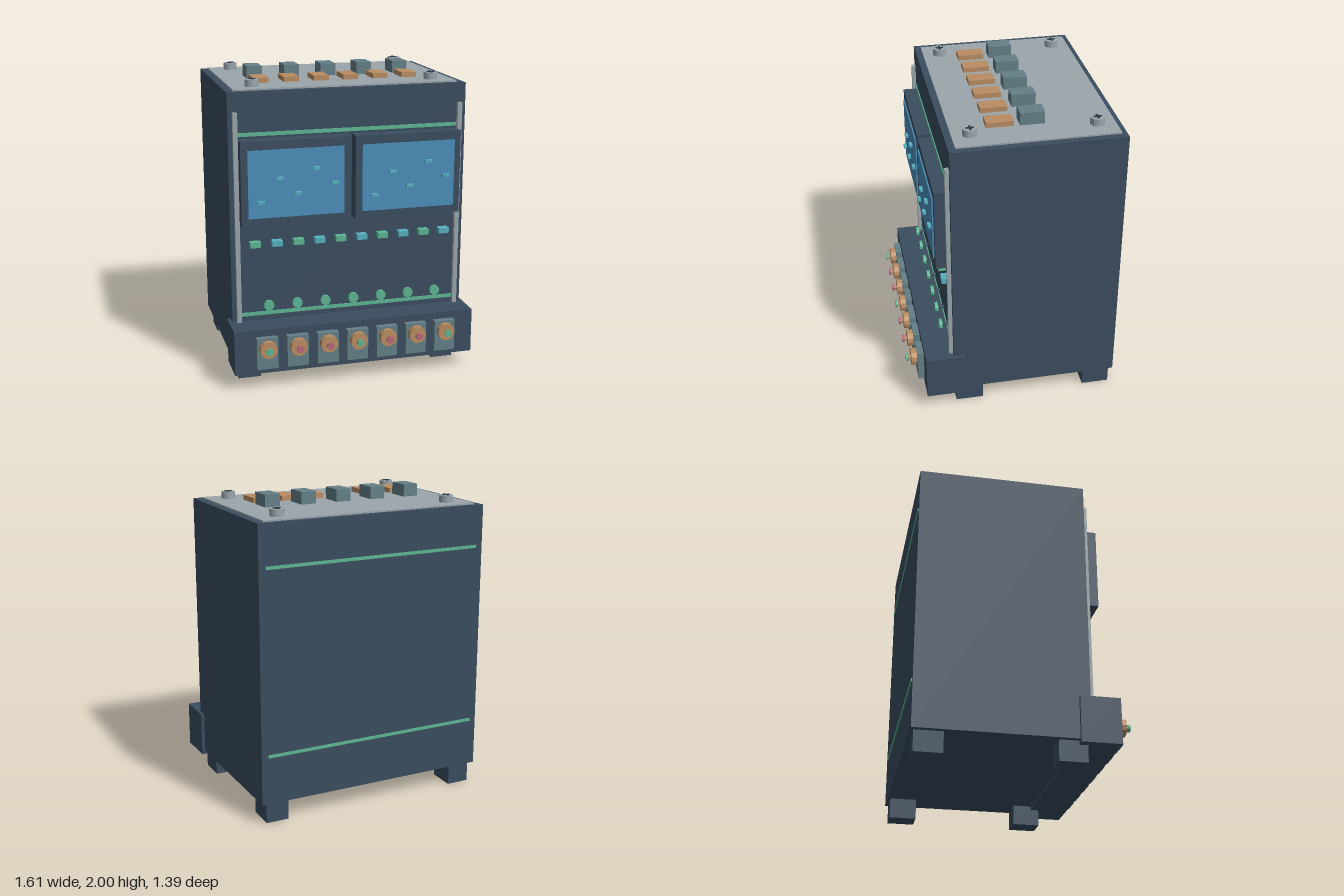
import * as THREE from 'three';

const mat = (name, color) => {
  const m = new THREE.MeshStandardMaterial({ color });
  m.name = name;
  m.flatShading = true;
  return m;
};

export function createModel() {
  const navy = mat('navy casing', 0x3a4c5e);
  const silver = mat('silver metal', 0x9aa5aa);
  const slate = mat('slate', 0x647f88);
  const copper = mat('copper', 0xb88c62);
  const green = mat('green', 0x5cb592);
  const cyan = mat('cyan', 0x55b0c0);
  const glass = mat('screen blue', 0x4a8db8);
  const rose = mat('rose', 0xb8687a);
  const dark = mat('dark slot', 0x2c3a48);

  const root = new THREE.Group();
  root.name = 'controlCabinet';

  const add = (name, geometry, material, x, y, z) => {
    const m = new THREE.Mesh(geometry, material);
    m.name = name;
    m.position.set(x, y, z);
    root.add(m);
    return m;
  };
  // Box given by its limits on each axis
  const box = (name, material, x0, x1, y0, y1, z0, z1) =>
    add(name, new THREE.BoxGeometry(x1 - x0, y1 - y0, z1 - z0), material,
      (x0 + x1) / 2, (y0 + y1) / 2, (z0 + z1) / 2);
  // Cylinder pointing forward, between two depths
  const disc = (name, material, r, sides, x, y, z0, z1) =>
    add(name, new THREE.CylinderGeometry(r, r, z1 - z0, sides).rotateX(Math.PI / 2),
      material, x, y, (z0 + z1) / 2);

  // Casing, front console and feet
  box('casing', navy, -0.785, 0.785, 0.135, 1.91, -0.688, 0.397);
  box('frontConsole', navy, -0.807, 0.807, 0.11, 0.407, 0.325, 0.58);
  for (const s of [-1, 1]) {
    for (const z of [0.29, -0.58]) {
      box('foot', navy, s * 0.675 - 0.075, s * 0.675 + 0.075, 0, 0.136, z - 0.09, z + 0.09);
    }
  }

  // Top plate with corner screws
  box('topPlate', silver, -0.738, 0.738, 1.905, 1.92, -0.655, 0.355);
  for (const x of [-0.597, 0.597]) {
    for (const z of [-0.54, 0.243]) {
      add('screw', new THREE.CylinderGeometry(0.045, 0.045, 0.045, 16), silver, x, 1.9425, z);
      add('screwSlot', new THREE.BoxGeometry(0.05, 0.008, 0.014), dark, x, 1.966, z);
      add('screwSlot', new THREE.BoxGeometry(0.014, 0.008, 0.05), dark, x, 1.9655, z);
    }
  }

  // Rows of blocks on the top
  for (let i = 0; i < 5; i++) {
    const x = -0.517 + i * 0.251;
    box('tallBlock', slate, x - 0.051, x + 0.051, 1.92, 2, -0.228, -0.075);
  }
  for (let i = 0; i < 6; i++) {
    const x = -0.515 + i * 0.2;
    box('lowBlock', copper, x - 0.05, x + 0.05, 1.92, 1.952, -0.038, 0.133);
  }

  // Silver side rails and green trim, front and back
  for (const s of [-1, 1]) {
    box('rail', silver, s * 0.741 - 0.015, s * 0.741 + 0.015, 0.4, 1.785, 0.395, 0.423);
  }
  for (const y of [1.642, 0.453]) {
    box('frontTrim', green, -0.725, 0.725, y - 0.012, y + 0.012, 0.395, 0.403);
    box('backTrim', green, -0.74, 0.74, y - 0.01, y + 0.01, -0.693, -0.685);
  }

  // Two framed screens with small markers
  const marks = [[-0.232, 1.228], [-0.111, 1.376], [0.006, 1.275], [0.127, 1.429], [0.249, 1.328]];
  for (const cx of [-0.371, 0.371]) {
    box('screenFrame', navy, cx - 0.354, cx + 0.354, 1.07, 1.615, 0.395, 0.488);
    box('screen', glass, cx - 0.311, cx + 0.311, 1.122, 1.558, 0.488, 0.497);
    for (const [dx, y] of marks) {
      const x = cx + dx;
      box('screenMarker', cyan, x - 0.023, x + 0.023, y - 0.009, y + 0.009, 0.497, 0.518);
    }
  }

  // Row of indicator lights
  for (let i = 0; i < 10; i++) {
    const x = -0.63 + i * 0.1415;
    box('indicator', i % 2 ? cyan : green, x - 0.034, x + 0.034, 0.914, 0.95, 0.395, 0.448);
  }

  // Row of round buttons on thin stems
  for (let i = 0; i < 7; i++) {
    const x = -0.552 + i * 0.189;
    disc('buttonStem', navy, 0.01, 8, x, 0.523, 0.395, 0.441);
    disc('button', green, 0.034, 10, x, 0.523, 0.441, 0.462);
  }

  // Console dials: plate, copper nut and coloured cap
  for (let i = 0; i < 7; i++) {
    const x = -0.6 + i * 0.2;
    box('dialPlate', slate, x - 0.07, x + 0.07, 0.153, 0.362, 0.575, 0.621);
    disc('dialNut', copper, 0.057, 12, x, 0.294, 0.621, 0.66);
    disc('dialStem', copper, 0.015, 8, x, 0.294, 0.66, 0.677);
    disc('dialCap', i % 3 ? rose : green, 0.024, 10, x, 0.294, 0.677, 0.693);
  }

  return root;
}
